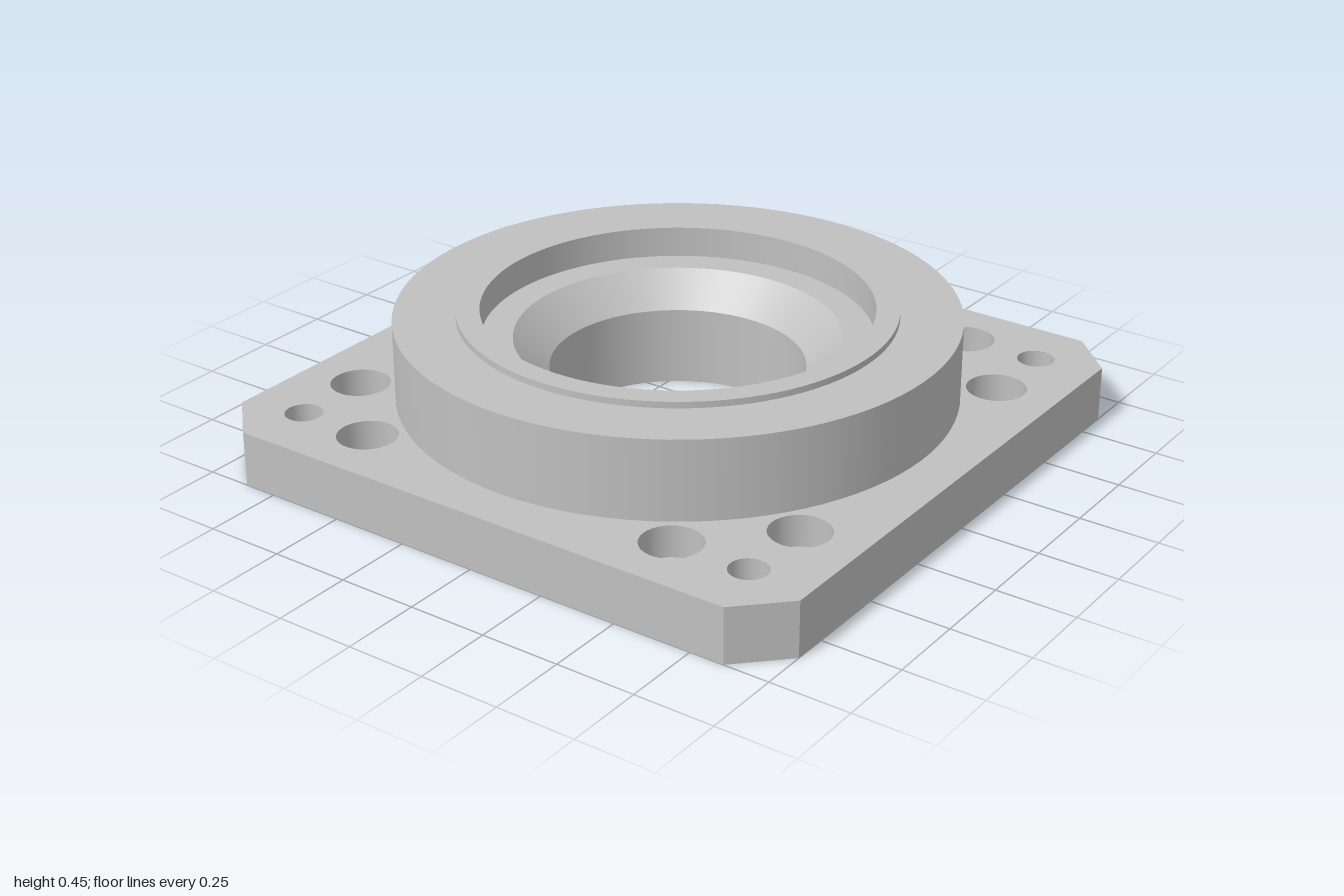
import * as THREE from 'three';
import { mergeGeometries } from 'three/addons/utils/BufferGeometryUtils.js';

const SEGMENTS = 96;
const PLATE_H = 0.175, CHAMFER = 0.857, BODY_R = 0.857, BORE_R = 0.39;
const HOLE_R = 0.058, COUNTERBORE_R = 0.092, COUNTERBORE_Y = 0.075;

// Revolved profile with a sharp edge at every point
function turned(profile) {
  const rings = [];
  for (let i = 0; i < profile.length - 1; i++) {
    const pair = [profile[i], profile[i + 1]].map(([r, y]) => new THREE.Vector2(r, y));
    rings.push(new THREE.LatheGeometry(pair, SEGMENTS));
  }
  return mergeGeometries(rings);
}

// Chamfered square outline, counter-clockwise
const outline = [
  [1, -CHAMFER], [1, CHAMFER], [CHAMFER, 1], [-CHAMFER, 1],
  [-1, CHAMFER], [-1, -CHAMFER], [-CHAMFER, -1], [CHAMFER, -1],
];

// Flat plate face with round holes, each given as [x, z, radius]
function plateFace(holes, y, up) {
  const shape = new THREE.Shape(outline.map(([x, z]) => new THREE.Vector2(x, z)));
  for (const [x, z, r] of holes) {
    shape.holes.push(new THREE.Path().absarc(x, z, r, 0, Math.PI * 2, true));
  }
  return new THREE.ShapeGeometry(shape, SEGMENTS / 2)
    .rotateX(up ? -Math.PI / 2 : Math.PI / 2)
    .translate(0, y, 0);
}

// Flat side walls around the plate outline
function plateWalls() {
  const position = [];
  outline.forEach(([x0, z0], i) => {
    const [x1, z1] = outline[(i + 1) % outline.length];
    position.push(x0, 0, -z0, x1, 0, -z1, x1, PLATE_H, -z1);
    position.push(x0, 0, -z0, x1, PLATE_H, -z1, x0, PLATE_H, -z0);
  });
  const geometry = new THREE.BufferGeometry();
  geometry.setAttribute('position', new THREE.Float32BufferAttribute(position, 3));
  geometry.computeVertexNormals();
  return geometry;
}

export function createModel() {
  const model = new THREE.Group();
  model.name = 'flangedBearingHousing';
  const steel = new THREE.MeshStandardMaterial({ color: 0xc0c0c0 });
  steel.name = 'steel grey';

  const add = (name, geometry, parent = model) => {
    const mesh = new THREE.Mesh(geometry, steel);
    mesh.name = name;
    parent.add(mesh);
    return mesh;
  };

  // Three bolt holes per corner: one plain, two counterbored
  const bolts = [];
  for (const sx of [-1, 1]) {
    for (const sz of [-1, 1]) {
      bolts.push([sx * 0.8, sz * 0.8, false]);
      bolts.push([sx * 0.8, sz * 0.548, true]);
      bolts.push([sx * 0.548, sz * 0.8, true]);
    }
  }

  // Base plate
  const plate = new THREE.Group();
  plate.name = 'basePlate';
  model.add(plate);
  const topHoles = bolts.map(([x, z, cb]) => [x, z, cb ? COUNTERBORE_R : HOLE_R]);
  const bottomHoles = bolts.map(([x, z]) => [x, z, HOLE_R]);
  add('plateTop', plateFace([...topHoles, [0, 0, BODY_R - 0.004]], PLATE_H, true), plate);
  add('plateBottom', plateFace([...bottomHoles, [0, 0, BORE_R]], 0, false), plate);
  add('plateSides', plateWalls(), plate);

  // Hole walls
  const plainHole = turned([[HOLE_R, PLATE_H], [HOLE_R, 0]]);
  const counterbore = turned([
    [COUNTERBORE_R, PLATE_H], [COUNTERBORE_R, COUNTERBORE_Y],
    [HOLE_R, COUNTERBORE_Y], [HOLE_R, 0],
  ]);
  for (const [x, z, cb] of bolts) {
    add(cb ? 'counterboredHole' : 'plainHole', cb ? counterbore : plainHole, plate)
      .position.set(x, 0, z);
  }

  // Round boss with its raised lip
  add('boss', turned([
    [BODY_R, PLATE_H], [BODY_R, 0.428], [0.667, 0.428], [0.667, 0.448], [0.595, 0.448],
  ]));

  // Stepped bore: seat wall, ledge, tapered lead-in and through hole
  add('bore', turned([
    [0.595, 0.448], [0.595, 0.35], [0.498, 0.35], [BORE_R, 0.25], [BORE_R, 0],
  ]));

  return model;
}
